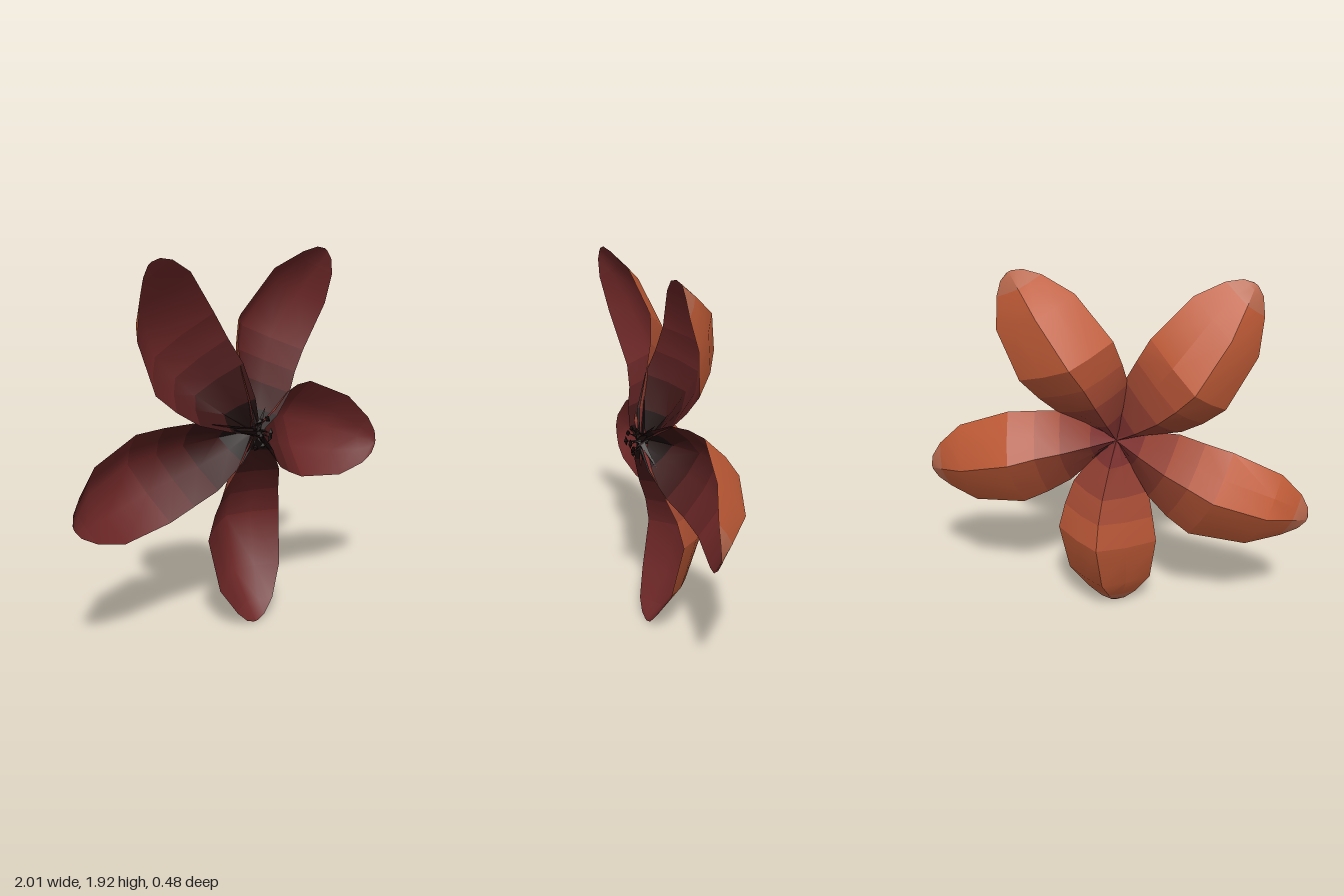
import * as THREE from 'three';
import { toCreasedNormals } from 'three/addons/utils/BufferGeometryUtils.js';

const CENTRE = new THREE.Vector3(0, 1.02, 0);

// Petal cross-sections: distance along petal, half width, midrib z, rim z
const SECTIONS = [
  [0.0, 0.02, 0.13, 0.18],
  [0.12, 0.11, 0.04, 0.17],
  [0.26, 0.2, -0.05, 0.12],
  [0.38, 0.235, -0.095, 0.075],
  [0.51, 0.262, -0.14, 0.05],
  [0.78, 0.222, -0.055, 0.1],
  [0.92, 0.13, 0.07, 0.145],
  [0.98, 0.065, 0.13, 0.155],
  [1.0, 0.012, 0.155, 0.155],
];
const ACROSS = [-1, -0.5, 0, 0.5, 1];
const ROWS = SECTIONS.length - 1;

// Petals: angle in degrees, length, backward tilt, sideways shift of the keel
const PETALS = [
  [-89, 1.02, 0, 0.04],
  [-12.5, 1.025, 0, 0.045],
  [59, 1.03, 0, 0.05],
  [128, 1.09, 0, 0.05],
  [198, 1.05, 0.18, -0.05],
];

// One colour step per row, from the throat over the blade to the tip
function ramp(throat, blade, tip) {
  return SECTIONS.slice(0, ROWS).map(([d], i) => {
    const color = new THREE.Color(throat).lerp(new THREE.Color(blade), Math.min(1, d / 0.5));
    if (i >= ROWS - 2) color.set(tip);
    return new THREE.MeshStandardMaterial({ color });
  });
}

// One face of a petal: a cupped sheet with a keel along the middle.
// The front swells slightly away from the back and meets it at the rim.
function petalSheet([degrees, length, tilt, keel], back) {
  const angle = THREE.MathUtils.degToRad(degrees);
  const c = Math.cos(angle), s = Math.sin(angle);
  const positions = [], index = [];
  for (const [d, w, zMid, zRim] of SECTIONS) {
    const swell = Math.sin(Math.PI * d);
    for (const t of ACROSS) {
      const inner = 1 - Math.abs(t);
      const r = length * d - 0.025 * t * swell;
      const side = w * t + (0.03 + keel * inner) * swell;
      let z = THREE.MathUtils.lerp(zMid, zRim, Math.abs(t) ** 1.3) - tilt * d;
      if (!back) z += 0.012 * inner * swell;
      positions.push(CENTRE.x + r * c - side * s, CENTRE.y + r * s + side * c, z);
    }
  }
  const n = ACROSS.length;
  for (let i = 0; i < ROWS; i++) {
    for (let j = 0; j < n - 1; j++) {
      const a = i * n + j, b = a + n;
      if (back) index.push(a, b + 1, b, a, a + 1, b + 1);
      else index.push(a, b, b + 1, a, b + 1, a + 1);
    }
  }
  const sheet = new THREE.BufferGeometry();
  sheet.setAttribute('position', new THREE.Float32BufferAttribute(positions, 3));
  sheet.setIndex(index);
  const geometry = toCreasedNormals(sheet, back ? 0.45 : 1.2);
  const perRow = (n - 1) * 6;
  for (let i = 0; i < ROWS; i++) geometry.addGroup(i * perRow, perRow, i);
  return geometry;
}

// A closed spike between two points
function spike(name, from, to, radius, material) {
  const direction = to.clone().sub(from);
  const mesh = new THREE.Mesh(new THREE.ConeGeometry(radius, direction.length(), 4), material);
  mesh.name = name;
  mesh.position.copy(from).lerp(to, 0.5);
  mesh.quaternion.setFromUnitVectors(new THREE.Vector3(0, 1, 0), direction.normalize());
  return mesh;
}

// A point in the throat, in polar form around the centre
const polar = (r, angle, z) =>
  new THREE.Vector3(r * Math.cos(angle), CENTRE.y + r * Math.sin(angle), z);

export function createModel() {
  const model = new THREE.Group();
  model.name = 'flower';

  const frontColors = ramp(0x1c0c0c, 0x6c2626, 0x6e2828);
  const backColors = ramp(0x7a302e, 0xbe5a36, 0xb9694e);
  for (const spec of PETALS) {
    const petal = new THREE.Group();
    petal.name = 'petal';
    const front = new THREE.Mesh(petalSheet(spec, false), frontColors);
    front.name = 'petalFront';
    const back = new THREE.Mesh(petalSheet(spec, true), backColors);
    back.name = 'petalBack';
    petal.add(front, back);
    model.add(petal);
  }

  // Dark cluster in the throat: upright stamens with anthers, and low spikes
  const dark = new THREE.MeshStandardMaterial({ color: 0x1a0c0c, flatShading: true });
  const stamens = new THREE.Group();
  stamens.name = 'stamens';
  for (let k = 0; k < 8; k++) {
    const angle = k * 2.4;
    const tip = polar(0.035 + 0.015 * (k % 4), angle, 0.235 - 0.012 * (k % 4));
    stamens.add(spike('filament', polar(0.015, angle + 1, 0.14), tip, 0.014, dark));
    const anther = new THREE.Mesh(new THREE.OctahedronGeometry(0.016), dark);
    anther.name = 'anther';
    anther.position.copy(tip);
    anther.scale.set(1, 1.6, 0.7);
    anther.rotation.z = angle;
    stamens.add(anther);
  }
  for (const [degrees, reach] of [[100, 0.24], [170, 0.21], [45, 0.15], [-40, 0.17], [245, 0.16]]) {
    const angle = THREE.MathUtils.degToRad(degrees);
    stamens.add(spike('lowSpike', polar(0.01, angle, 0.17), polar(reach, angle, 0.13), 0.022, dark));
  }
  model.add(stamens);

  return model;
}
